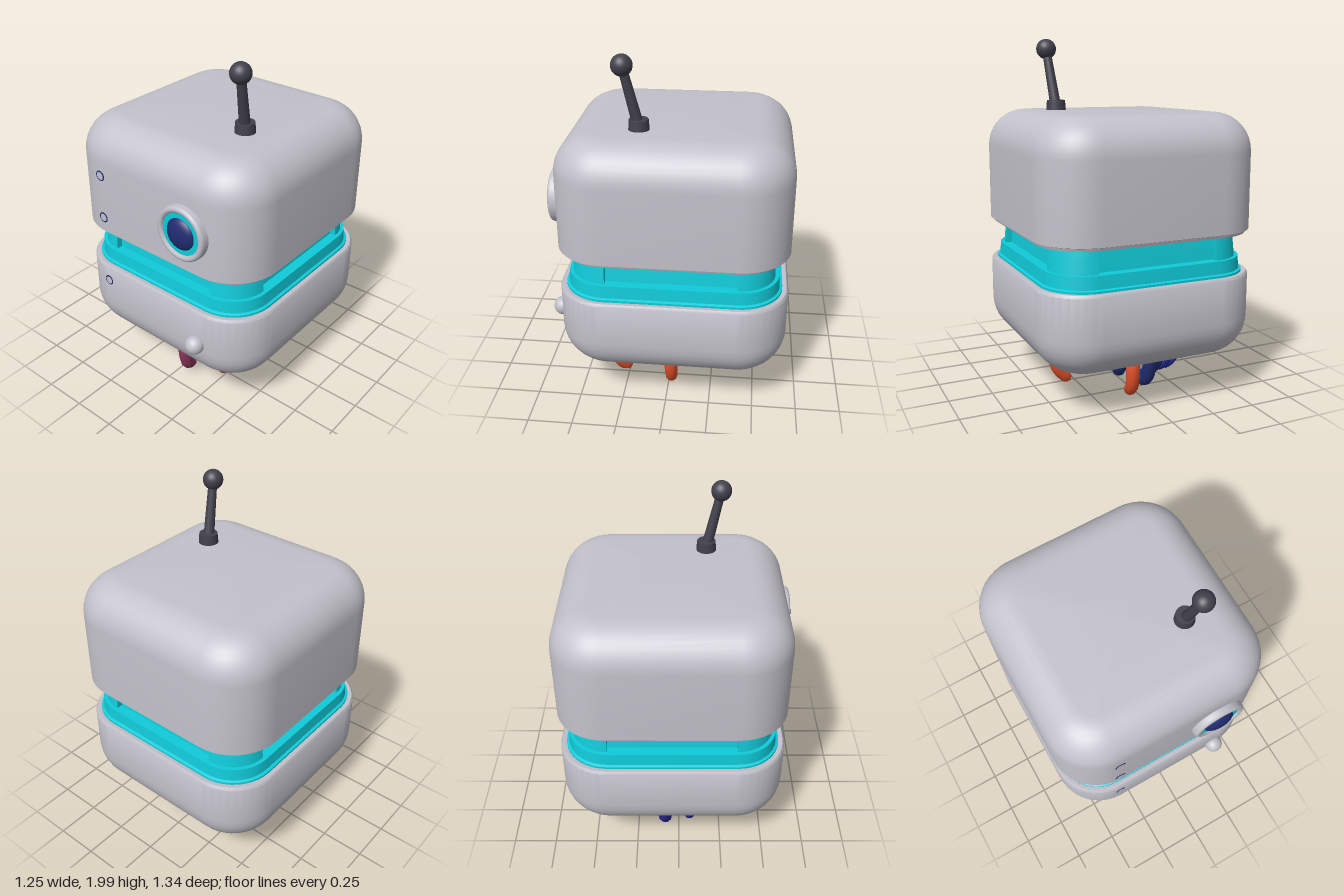
import * as THREE from 'three';
import { toCreasedNormals } from 'three/addons/utils/BufferGeometryUtils.js';

const mat = (name, color) => {
  const m = new THREE.MeshStandardMaterial({ color });
  m.name = name;
  return m;
};

const HX = 0.627, HZ = 0.637, CZ = -0.035, RADIUS = 0.28;
const FRONT = CZ + HZ;

// Rounded-square outline; notch recesses the straight sides between the corners
function outline(inset, notch) {
  const hx = Math.max(HX - inset, 0), hz = Math.max(HZ - inset, 0);
  const r = Math.min(Math.max(RADIUS - inset, 0.04), hx, hz);
  const steps = 10, pts = [];
  for (let c = 0; c < 4; c++) {
    const mid = (c + 0.5) * Math.PI / 2;
    const cx = Math.sign(Math.cos(mid)) * (hx - r), cz = Math.sign(Math.sin(mid)) * (hz - r);
    const add = (a, rr) => pts.push([cx + Math.cos(a) * rr, CZ + cz + Math.sin(a) * rr]);
    add(c * Math.PI / 2, r - notch);
    for (let i = 0; i <= steps; i++) add((c + i / steps) * Math.PI / 2, r);
    add((c + 1) * Math.PI / 2, r - notch);
  }
  return pts;
}

// Stack outlines through a profile of [inset, y, notch]
function loft(profile) {
  const pos = [], idx = [];
  let n = 0;
  for (const [inset, y, notch = 0] of profile) {
    const ring = outline(inset, notch);
    n = ring.length;
    for (const [x, z] of ring) pos.push(x, y, z);
  }
  for (let j = 0; j < profile.length - 1; j++) {
    for (let i = 0; i < n; i++) {
      const a = j * n + i, b = j * n + (i + 1) % n;
      idx.push(a, a + n, b, b, a + n, b + n);
    }
  }
  const g = new THREE.BufferGeometry();
  g.setAttribute('position', new THREE.Float32BufferAttribute(pos, 3));
  g.setIndex(idx);
  return toCreasedNormals(g, 0.6);
}

// Quarter-round edge between a wall and a flat face
function edge(r, wallY, dir) {
  const pts = [];
  for (let i = 0; i <= 9; i++) {
    const a = i / 9 * Math.PI / 2;
    pts.push([r * (1 - Math.cos(a)), wallY + dir * r * Math.sin(a)]);
  }
  return pts;
}

// Curved tentacle: hangs from (x, z), bows outward and curls in to a rounded tip
function tentacleGeometry(x, z, tipY) {
  const out = new THREE.Vector3(x, 0, z).normalize();
  const at = (d, y) => new THREE.Vector3(x + out.x * d, y, z + out.z * d);
  const curve = new THREE.CatmullRomCurve3([at(-0.01, 0.29), at(0.01, 0.2), at(-0.015, 0.1), at(-0.09, tipY)]);
  const rings = 18, sides = 10;
  const g = new THREE.TubeGeometry(curve, rings, 0.042, sides);
  const p = g.attributes.position, v = new THREE.Vector3();
  for (let k = 0; k < p.count; k++) {
    const t = Math.floor(k / (sides + 1)) / rings;
    const c = curve.getPointAt(t);
    const s = t < 0.8 ? 1 - t * 0.2 : 0.84 * Math.sqrt(Math.max(0, 1 - ((t - 0.8) / 0.2) ** 2));
    v.fromBufferAttribute(p, k).sub(c).multiplyScalar(s).add(c);
    p.setXYZ(k, v.x, v.y, v.z);
  }
  g.computeVertexNormals();
  return g;
}

export function createModel() {
  const model = new THREE.Group();
  model.name = 'robot';
  const grey = mat('shellGrey', 0xc3c2cb), cyan = mat('cyan', 0x10ccda);
  const dark = mat('antennaCharcoal', 0x42414d), navy = mat('navy', 0x212c70);
  const blue = mat('blue', 0x292a98), maroon = mat('maroon', 0x8a3658);
  const crimson = mat('crimson', 0xb03c50), orange = mat('orange', 0xe4522a);

  const add = (name, geometry, material, x = 0, y = 0, z = 0) => {
    const m = new THREE.Mesh(geometry, material);
    m.name = name;
    m.position.set(x, y, z);
    model.add(m);
    return m;
  };

  // Body shells
  add('lowerShell', loft([
    [HZ, 0.25], ...edge(0.22, 0.47, -1).reverse(), [0, 0.71], [0.01, 0.725], [0.03, 0.725], [0.06, 0.715], [HZ, 0.715],
  ]), grey);
  add('upperShell', loft([
    [HZ, 0.965], [0.07, 0.965], [0.05, 0.945], [0.02, 0.945], [0.015, 0.96], [0, 0.965], ...edge(0.21, 1.39, 1), [HZ, 1.6],
  ]), grey);

  // Glowing waist with recessed side panels
  add('waistRim', loft([[0.035, 0.70], [0.035, 0.735], [0.05, 0.74], [0.055, 0.81], [HZ, 0.81]]), cyan);
  add('waistBand', loft([[0.075, 0.80, 0.035], [0.085, 0.90, 0.035], [0.095, 0.975, 0.035]]), cyan);

  // Eye
  const eyeX = 0.25, eyeY = 1.197;
  const rim = [[0.155, -0.02], [0.155, 0.025], [0.15, 0.037], [0.14, 0.043], [0.128, 0.041], [0.119, 0.032], [0.116, 0]];
  add('eyeRim', new THREE.LatheGeometry(rim.map(([r, y]) => new THREE.Vector2(r, y)), 40), grey, eyeX, eyeY, FRONT)
    .rotation.x = Math.PI / 2;
  add('eyeIris', new THREE.CylinderGeometry(0.12, 0.12, 0.03, 40), cyan, eyeX, eyeY, FRONT + 0.015)
    .rotation.x = Math.PI / 2;
  add('eyeLens', new THREE.SphereGeometry(0.091, 32, 20), navy, eyeX, eyeY, FRONT + 0.023).scale.z = 0.43;

  // Front knob and rivets
  add('knob', new THREE.SphereGeometry(0.054, 24, 16), grey, 0.315, 0.51, FRONT + 0.014);
  for (const y of [1.315, 1.055, 0.63]) {
    add('rivetSocket', new THREE.CircleGeometry(0.031, 20), navy, -0.35, y, FRONT + 0.002);
    add('rivetHead', new THREE.CircleGeometry(0.023, 20), grey, -0.35, y, FRONT + 0.004);
  }

  // Antenna
  const foot = new THREE.Vector3(0.283, 1.61, 0.155), ball = new THREE.Vector3(0.31, 1.943, 0.233);
  const dir = ball.clone().sub(foot);
  const mid = foot.clone().add(ball).multiplyScalar(0.5);
  add('antennaBase', new THREE.CylinderGeometry(0.052, 0.058, 0.075, 24), dark, foot.x, 1.618, foot.z);
  add('antennaStem', new THREE.CylinderGeometry(0.024, 0.031, dir.length(), 16), dark, mid.x, mid.y, mid.z)
    .quaternion.setFromUnitVectors(new THREE.Vector3(0, 1, 0), dir.clone().normalize());
  add('antennaBall', new THREE.SphereGeometry(0.057, 28, 18), dark, ball.x, ball.y, ball.z);

  // Tentacles under the body: x, z, tip height, colour
  const tentacles = [
    [0.37, -0.02, 0.02, orange], [0.27, 0.31, 0.03, orange], [0.08, -0.44, 0.05, orange],
    [0.07, 0.42, 0.06, maroon], [0.2, 0.15, 0.06, crimson], [0.15, 0.27, 0.04, navy],
    [-0.06, -0.36, 0.06, navy], [-0.12, -0.28, 0.06, navy], [-0.2, -0.2, 0.07, navy],
    [0.03, -0.18, 0.07, navy], [-0.28, -0.17, 0.06, blue],
    [-0.39, -0.09, 0.02, blue], [-0.36, 0.07, 0.04, blue],
  ];
  for (const [x, z, tipY, colour] of tentacles) add('tentacle', tentacleGeometry(x, z, tipY), colour);

  return model;
}
